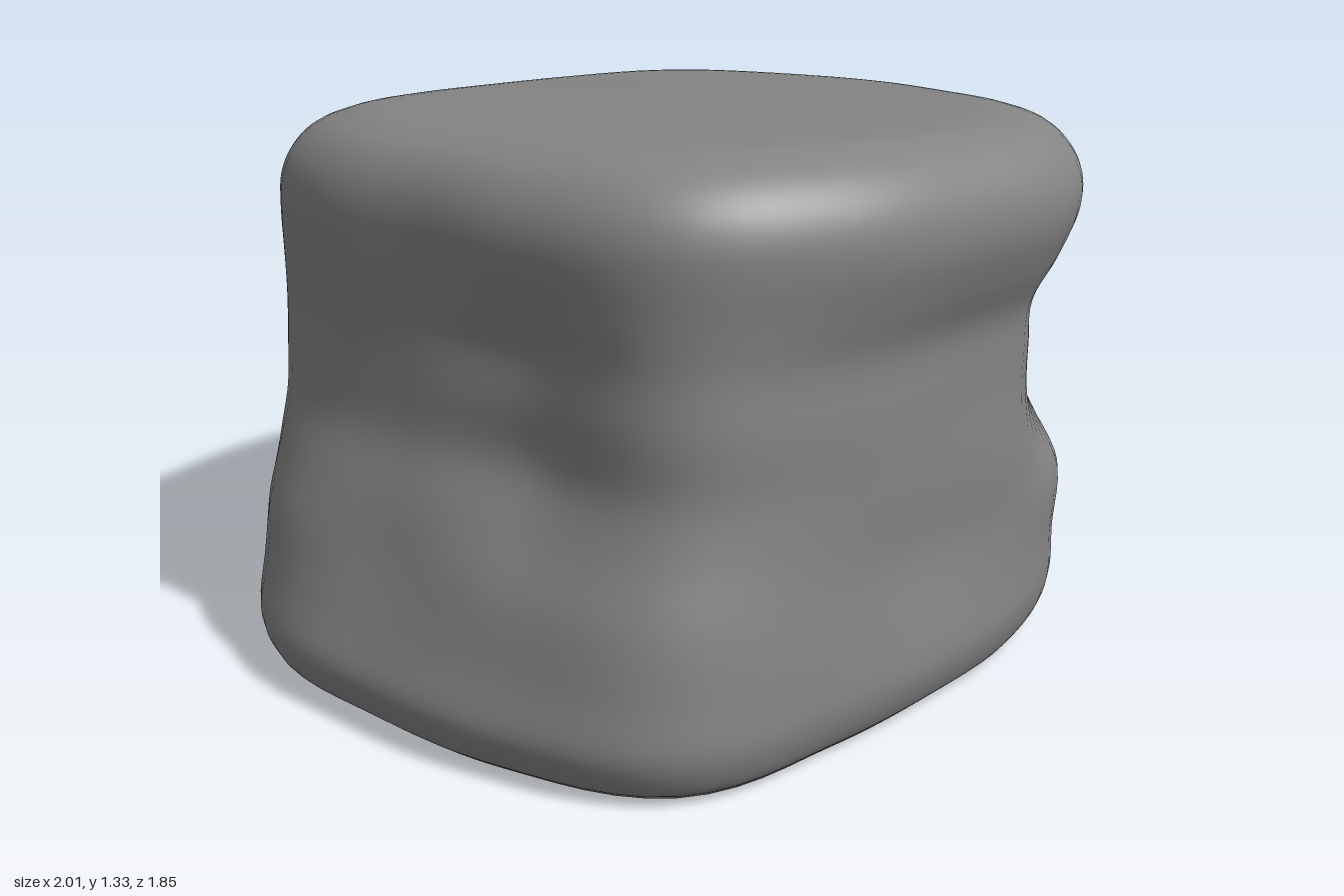
import * as THREE from 'three';

// Radii of five horizontal cuts, every 22.5 degrees from front (+z) towards +x
const CUTS = [
  [.86, .90, .98, .98, .95, .95, .97, .92, .86, .89, 1.01, 1.06, 1.0, 1.02, 1.07, .92],
  [.83, .89, .98, .98, .94, .96, 1.01, .92, .84, .87, 1.0, 1.01, .90, .94, 1.03, .90],
  [.83, .88, .87, .92, .95, .94, .97, .88, .80, .86, .96, .91, .83, .82, .97, .89],
  [.84, .88, .85, .90, .95, .98, 1.0, .94, .83, .84, .96, .89, .82, .81, .965, .90],
  [.92, .97, .98, .95, .99, 1.03, 1.06, .98, .92, .91, .96, .89, .83, .88, .98, .95],
];

// Control rings from base to top: height, scale, cut (fractions blend two cuts)
const RINGS = [
  [0.01, 0, 0], [0.01, .5, 0], [0.01, .88, 0], [0.025, .945, 0], [0.065, .98, 0], [0.14, 1, 0],
  [0.25, 1, .4], [0.4, 1, 1], [0.53, 1, 1.55], [0.65, 1, 2], [0.78, 1, 2.5], [0.9, 1, 3],
  [1.0, 1, 3.5], [1.09, 1, 3.9], [1.16, .995, 4], [1.22, .97, 4], [1.27, .92, 4],
  [1.3, .85, 4], [1.318, .74, 4], [1.325, .4, 4], [1.325, 0, 4],
];

// Catmull-Rom blend of four values
function spline(a, b, c, d, t) {
  return b + 0.5 * t * (c - a + t * (2 * a - 5 * b + 4 * c - d + t * (3 * (b - c) + d - a)));
}

// Smooth radius of one cut at a fractional angle index
function cutRadius(cut, u) {
  const i = Math.floor(u), n = cut.length;
  const at = (k) => cut[(k + n) % n];
  return spline(at(i - 1), at(i), at(i + 1), at(i + 2), u - i);
}

// Radius of a control ring, blended between its two nearest cuts
function ringRadius([, scale, cut], u) {
  const low = Math.floor(cut), high = Math.ceil(cut);
  return scale * THREE.MathUtils.lerp(cutRadius(CUTS[low], u), cutRadius(CUTS[high], u), cut - low);
}

function boulderGeometry(around = 96, steps = 5) {
  const positions = [], index = [];
  const rows = (RINGS.length - 1) * steps;
  const ring = (k) => RINGS[Math.min(Math.max(k, 0), RINGS.length - 1)];

  for (let r = 0; r <= rows; r++) {
    const k = Math.min(Math.floor(r / steps), RINGS.length - 2);
    const t = r / steps - k;
    const four = [ring(k - 1), ring(k), ring(k + 1), ring(k + 2)];
    const height = spline(...four.map((q) => q[0]), t);
    for (let j = 0; j < around; j++) {
      const angle = (j / around) * Math.PI * 2;
      const u = (j / around) * 16;
      let radius = Math.max(0, spline(...four.map((q) => ringRadius(q, u)), t));
      // Faint slanting ripples on the sides
      const side = Math.sin(Math.PI * THREE.MathUtils.clamp(height / 1.3, 0, 1));
      radius += 0.005 * side * Math.sin(3 * angle + 13 * height) * Math.min(1, radius);
      const x = radius * Math.sin(angle), z = radius * Math.cos(angle);
      // Tilt and gentle waviness of the top
      const top = THREE.MathUtils.smoothstep(height, 0.9, 1.3);
      let y = height + top * (0.022 * z - 0.015 * x + 0.004 * Math.sin(6 * x + 1) * Math.cos(5 * z));
      // Underside curls up towards the left and back left
      const low = 1 - THREE.MathUtils.smoothstep(height, 0, 0.45);
      y += low * 0.35 * Math.max(0, 0.92 * x - 0.38 * z - 0.6);
      positions.push(x, Math.max(0, y), z);
    }
  }
  for (let r = 0; r < rows; r++) {
    for (let j = 0; j < around; j++) {
      const a = r * around + j, b = r * around + (j + 1) % around;
      const c = a + around, d = b + around;
      // The first and last rings shrink to a point and need one triangle per step
      if (r === 0) index.push(a, d, c);
      else if (r === rows - 1) index.push(a, b, c);
      else index.push(a, b, d, a, d, c);
    }
  }
  const geometry = new THREE.BufferGeometry();
  geometry.setAttribute('position', new THREE.Float32BufferAttribute(positions, 3));
  geometry.setIndex(index);
  geometry.computeVertexNormals();
  return geometry;
}

export function createModel() {
  const group = new THREE.Group();
  group.name = 'rock';
  const boulder = new THREE.Mesh(boulderGeometry(), new THREE.MeshStandardMaterial({ color: 0x848484 }));
  boulder.name = 'boulder';
  group.add(boulder);
  return group;
}
